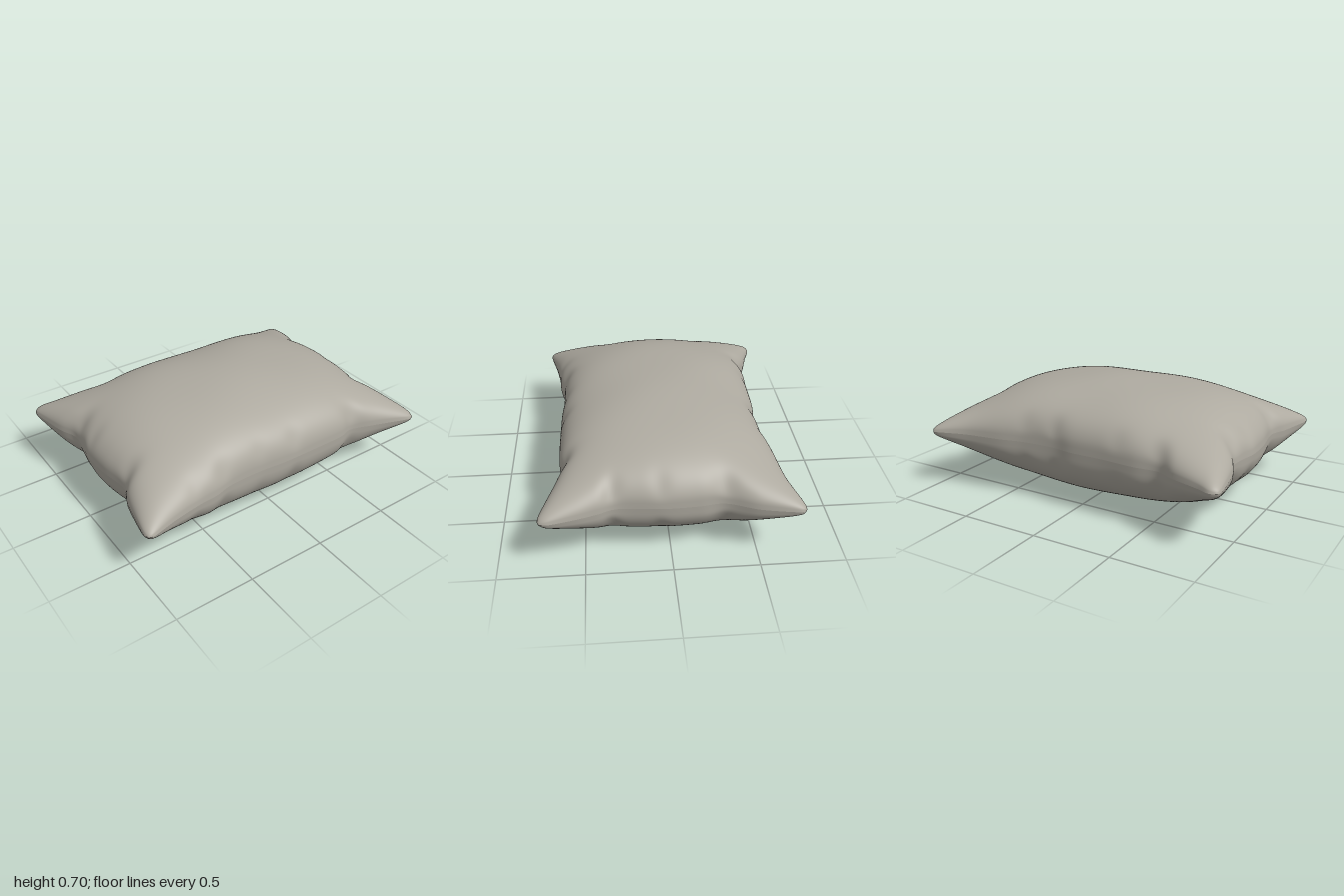
import * as THREE from 'three';

// Smooth seam edge through [x, z] points
const edge = (pts) => {
  const c = new THREE.SplineCurve(pts.map(([x, z]) => new THREE.Vector2(x, z)));
  c.arcLengthDivisions = 600;
  return c;
};

// Rounded corner tips shared by neighbouring edges
const BL = [-0.985, -0.735], BR = [0.99, -0.725], FL = [-0.99, 0.73], FR = [0.99, 0.735];

const back = edge([BL, [-0.94, -0.748], [-0.86, -0.72], [-0.7, -0.672], [-0.58, -0.615], [-0.42, -0.628],
  [-0.2, -0.617], [0, -0.612], [0.15, -0.592], [0.35, -0.608], [0.52, -0.642], [0.75, -0.675], [0.95, -0.735], BR]);
const front = edge([FL, [-0.95, 0.737], [-0.8, 0.7], [-0.62, 0.668], [-0.5, 0.658], [-0.38, 0.63], [-0.17, 0.625],
  [0, 0.637], [0.2, 0.64], [0.45, 0.638], [0.56, 0.614], [0.7, 0.658], [0.85, 0.712], [0.95, 0.743], FR]);
const left = edge([BL, [-0.995, -0.68], [-0.955, -0.45], [-0.905, -0.32], [-0.91, -0.2], [-0.93, -0.08],
  [-0.925, 0.1], [-0.9, 0.3], [-0.945, 0.42], [-0.975, 0.55], [-0.998, 0.68], FL]);
const right = edge([BR, [0.998, -0.68], [0.96, -0.48], [0.89, -0.3], [0.905, -0.15], [0.912, 0.05],
  [0.89, 0.3], [0.93, 0.42], [0.965, 0.53], [0.998, 0.68], FR]);

// Pinched folds along each edge: [position, width, strength]
const folds = {
  front: [[-0.42, 0.06, 0.25], [-0.15, 0.05, 0.12], [0.1, 0.05, 0.2], [0.57, 0.05, 0.3], [-0.63, 0.05, 0.12]],
  back: [[-0.57, 0.06, 0.25], [-0.3, 0.06, 0.14], [0.15, 0.05, 0.25], [0.36, 0.06, 0.16]],
  left: [[-0.27, 0.06, 0.25], [-0.09, 0.05, 0.15], [0.31, 0.06, 0.25]],
  right: [[-0.3, 0.06, 0.25], [0.07, 0.05, 0.15], [0.34, 0.05, 0.28]],
};
const pinch = (list, t, inset) => list.reduce(
  (s, [p, w, k]) => s + k * Math.exp(-(((t - p) / w) ** 2)), 0) * Math.exp(-((inset / 0.1) ** 2));

// Blend the four seam edges into one flat sheet that relaxes to a plain rectangle inside
function sheet(u, v) {
  const a = (u + 1) / 2, b = (v + 1) / 2;
  const B = back.getPointAt(a), F = front.getPointAt(a), L = left.getPointAt(b), R = right.getPointAt(b);
  const relax = (1 - u ** 6) * (1 - v ** 6);
  const mix = (i, k, plain) => THREE.MathUtils.lerp(
    (1 - b) * B[k] + b * F[k] + (1 - a) * L[k] + a * R[k]
    - (1 - a) * ((1 - b) * BL[i] + b * FL[i]) - a * ((1 - b) * BR[i] + b * FR[i]), plain, relax);
  return [mix(0, 'x', 0.945 * u), mix(1, 'y', 0.665 * v + 0.006)];
}

// One puffed half of the cushion; side is +1 for the top and -1 for the bottom
function panel(side, puff) {
  const geo = new THREE.PlaneGeometry(2, 2, 120, 100);
  const pos = geo.attributes.position;
  // Rows crowd towards the seam, where the cloth curves most
  const crowd = (t) => 0.2 * t + 0.8 * Math.sin(t * Math.PI / 2);
  for (let i = 0; i < pos.count; i++) {
    const u = THREE.MathUtils.clamp(crowd(pos.getX(i) * side), -1, 1);
    const v = THREE.MathUtils.clamp(crowd(-pos.getY(i)), -1, 1);
    const [x, z] = sheet(u, v);
    const crease = pinch(v > 0 ? folds.front : folds.back, x, 1 - Math.abs(v))
      + pinch(u > 0 ? folds.right : folds.left, z, 1 - Math.abs(u));
    const swell = Math.max(0, 1 - Math.abs(u) ** 2.5) ** 0.46 * Math.max(0, 1 - Math.abs(v) ** 2.1) ** 0.45;
    const seam = 0.375 + 0.004 * Math.sin(9 * x + 1) * Math.cos(7 * z);
    pos.setXYZ(i, x, seam + side * puff * swell * (1 - crease), z);
  }
  geo.computeVertexNormals();
  return geo;
}

export function createModel() {
  const fabric = new THREE.MeshStandardMaterial({ color: 0xaeaaa0, side: THREE.DoubleSide });
  fabric.name = 'warm grey fabric';
  const pillow = new THREE.Group();
  pillow.name = 'pillow';
  for (const [name, side, puff] of [['topPanel', 1, 0.328], ['bottomPanel', -1, 0.372]]) {
    const mesh = new THREE.Mesh(panel(side, puff), fabric);
    mesh.name = name;
    pillow.add(mesh);
  }
  return pillow;
}
